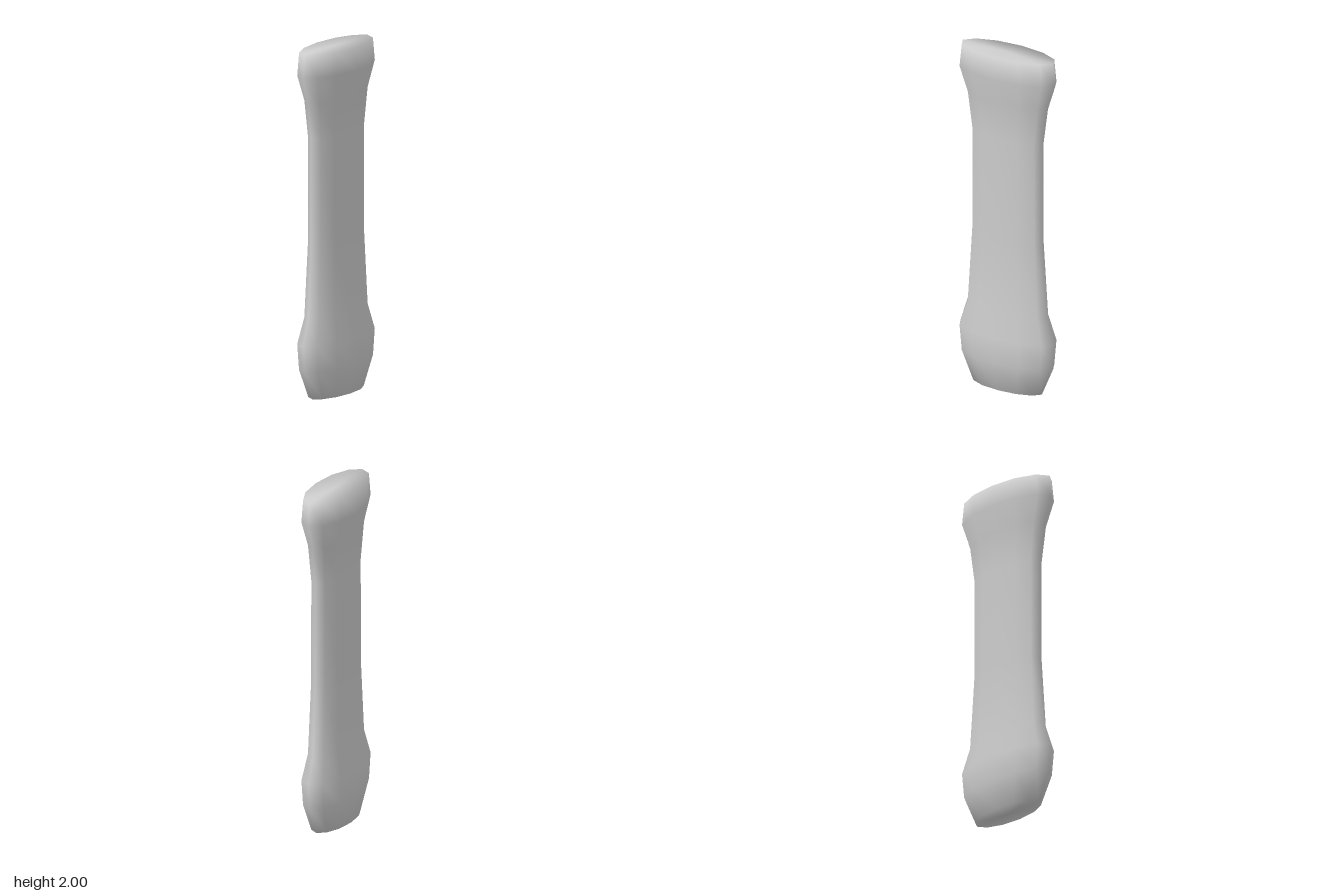
import * as THREE from 'three';
import { mergeVertices } from 'three/addons/utils/BufferGeometryUtils.js';

// Cross-sections from bottom to top: [y, half depth (z), half width (x)]
const SECTIONS = [
  [0, 0.243, 0.096],
  [0.17, 0.324, 0.13],
  [0.32, 0.34, 0.136],
  [0.47, 0.287, 0.1],
  [0.89, 0.256, 0.088],
  [1.5, 0.254, 0.087],
  [1.72, 0.287, 0.1],
  [1.87, 0.34, 0.136],
  [2, 0.325, 0.128],
];

export function createModel() {
  const group = new THREE.Group();
  group.name = 'handleGrip';

  // Closed twelve-sided profile, with a flat cap at each end
  const profile = [
    new THREE.Vector2(0, 0),
    ...SECTIONS.map(([y, depth]) => new THREE.Vector2(depth, y)),
    new THREE.Vector2(0, 2),
  ];
  let geometry = new THREE.LatheGeometry(profile, 12);

  // Flatten each ring to its own width
  const pos = geometry.attributes.position;
  for (let i = 0; i < pos.count; i++) {
    const y = pos.getY(i);
    const [, depth, width] = SECTIONS.find((s) => Math.abs(s[0] - y) < 0.001);
    pos.setX(i, pos.getX(i) * width / depth);
  }

  // Weld the seam and smooth over the whole body, caps included
  geometry.deleteAttribute('uv');
  geometry.deleteAttribute('normal');
  geometry = mergeVertices(geometry, 1e-4);
  geometry.computeVertexNormals();

  const grip = new THREE.Mesh(geometry, new THREE.MeshStandardMaterial({ color: 0xcccccc }));
  grip.name = 'grip';
  group.add(grip);
  return group;
}
